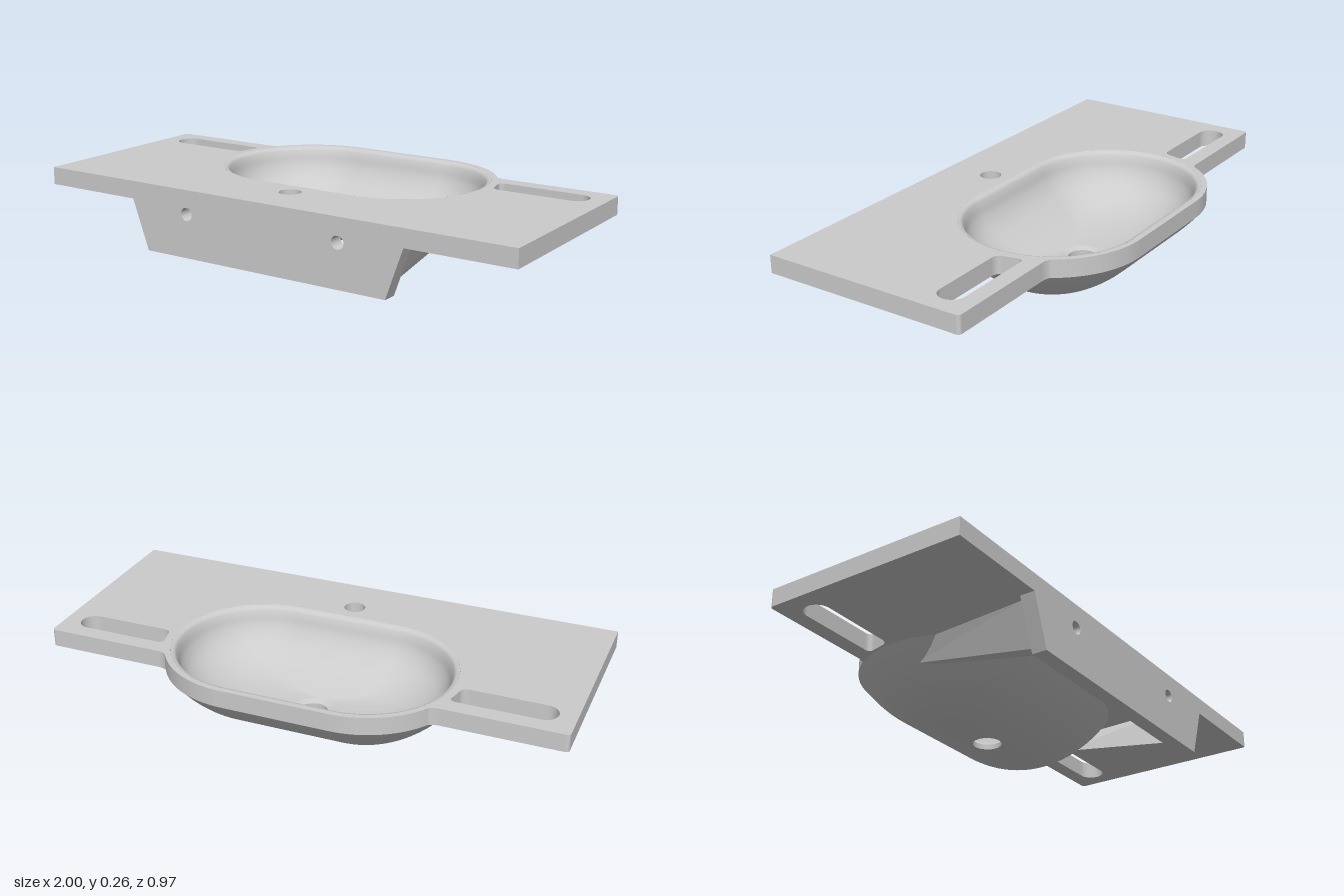
import * as THREE from 'three';

const ZC = -0.124; // centre of the basin in z
const F = 0.205; // half length of the basin's straight sides
const mat = new THREE.MeshStandardMaterial({ color: 0xcccccc, side: THREE.DoubleSide });

function add(group, geo, name) {
  const mesh = new THREE.Mesh(geo, mat);
  mesh.name = name;
  group.add(mesh);
}

const circle = (x, y, r) => new THREE.Path().absarc(x, y, r, 0, Math.PI * 2, true);

// Loft of stadium-shaped rings; each ring is [half straight length, end radius, height]
function loft(rings, half = 40) {
  const pos = [], idx = [], n = 2 * (half + 1);
  for (const [f, r, y] of rings) {
    for (const side of [1, -1]) {
      for (let k = 0; k <= half; k++) {
        const a = -Math.PI / 2 + (Math.PI * k) / half;
        pos.push(side * (f + r * Math.cos(a)), y, ZC + side * r * Math.sin(a));
      }
    }
  }
  for (let i = 0; i < rings.length - 1; i++) {
    for (let j = 0; j < n; j++) {
      const a = i * n + j, b = i * n + ((j + 1) % n);
      idx.push(a, a + n, b, b, a + n, b + n);
    }
  }
  const geo = new THREE.BufferGeometry();
  geo.setAttribute('position', new THREE.Float32BufferAttribute(pos, 3));
  geo.setIndex(idx);
  geo.computeVertexNormals();
  return geo;
}

const smooth = (rings, n) =>
  new THREE.CatmullRomCurve3(rings.map((p) => new THREE.Vector3(...p))).getPoints(n).map((p) => p.toArray());

// Countertop outline in plan (shape y = -z), bulging around the basin at the back
function topShape(recesses) {
  const s = new THREE.Shape();
  const c = -ZC, r = 0.363, a = 0.57;
  const ex = F + r * Math.cos(a), ey = c + r * Math.sin(a);
  s.moveTo(-1, -0.487);
  s.lineTo(1, -0.487);
  s.lineTo(1, 0.295);
  s.quadraticCurveTo(1, 0.31, 0.985, 0.31);
  s.lineTo(0.55, 0.31);
  s.quadraticCurveTo(0.525, 0.31, ex, ey);
  s.absarc(F, c, r, a, Math.PI / 2, false);
  s.absarc(-F, c, r, Math.PI / 2, Math.PI - a, false);
  s.quadraticCurveTo(-0.525, 0.31, -0.55, 0.31);
  s.lineTo(-0.985, 0.31);
  s.quadraticCurveTo(-1, 0.31, -1, 0.295);
  s.closePath();

  // Basin opening and tap hole
  const basin = new THREE.Path();
  basin.absarc(F, c, 0.342, -Math.PI / 2, Math.PI / 2, false);
  basin.absarc(-F, c, 0.342, Math.PI / 2, Math.PI * 1.5, false);
  basin.closePath();
  s.holes.push(basin, circle(0, -0.3, 0.041));

  // Towel slots, round at the outer end and following the bowl at the inner end
  for (const m of [1, -1]) {
    const p = new THREE.Path();
    p.moveTo(m * 0.61, 0.147);
    p.lineTo(m * 0.885, 0.147);
    p.absarc(m * 0.885, 0.197, 0.05, -Math.PI / 2, Math.PI / 2, m < 0);
    p.lineTo(m * 0.585, 0.247);
    p.quadraticCurveTo(m * 0.56, 0.247, m * 0.563, 0.225);
    p.lineTo(m * 0.575, 0.172);
    p.quadraticCurveTo(m * 0.58, 0.147, m * 0.61, 0.147);
    s.holes.push(p);
    if (recesses) s.holes.push(circle(m * 0.25, -0.3, 0.04));
  }
  return s;
}

function slab(shape, y, depth) {
  const geo = new THREE.ExtrudeGeometry(shape, { depth, bevelEnabled: false, curveSegments: 40 });
  return geo.rotateX(-Math.PI / 2).translate(0, y, 0);
}

// Half of the front panel, split through the centres of its two bolt holes
function panelHalf(edgeX, edgeY, upper) {
  const y = 0.167, r = 0.025, s = new THREE.Shape();
  s.moveTo(-0.58, y);
  for (const x of [-0.33, 0.33]) {
    s.lineTo(x - r, y);
    s.absarc(x, y, r, Math.PI, 0, upper);
  }
  s.lineTo(0.58, y);
  s.lineTo(edgeX, edgeY);
  s.lineTo(-edgeX, edgeY);
  s.closePath();
  const geo = new THREE.ExtrudeGeometry(s, { depth: 0.057, bevelEnabled: false, curveSegments: 16 });
  return geo.translate(0, 0, 0.43);
}

// Tapered rib from the front panel to the bowl; a box with its corners moved
function ribGeometry(side) {
  // [outer x, inner x, y, z] by panel/bowl end and top/bottom
  const corner = {
    panelTop: [0.562, 0.49, 0.195, 0.44],
    panelBottom: [0.502, 0.445, 0.028, 0.44],
    bowlTop: [0.53, 0.505, 0.195, -0.01],
    bowlBottom: [0.497, 0.472, 0.123, -0.075],
  };
  const geo = new THREE.BoxGeometry(1, 1, 1);
  const p = geo.attributes.position;
  for (let i = 0; i < p.count; i++) {
    const key = (p.getZ(i) > 0 ? 'panel' : 'bowl') + (p.getY(i) > 0 ? 'Top' : 'Bottom');
    const [outer, inner, y, z] = corner[key];
    p.setXYZ(i, side * (p.getX(i) * side > 0 ? outer : inner), y, z);
  }
  const flat = geo.toNonIndexed();
  flat.computeVertexNormals();
  return flat;
}

export function createModel() {
  const model = new THREE.Group();
  model.name = 'washbasin';

  // Countertop: the lower layer also has two blind recesses beside the tap hole
  add(model, slab(topShape(true), 0.19, 0.045), 'countertopUnderside');
  add(model, slab(topShape(false), 0.235, 0.023), 'countertop');

  // Bowl interior, from the rounded rim down to the drain
  const inside = smooth([
    [F, 0.342, 0.258], [F, 0.326, 0.251], [F, 0.316, 0.232], [F, 0.303, 0.19],
    [F, 0.276, 0.147], [0.2, 0.232, 0.107], [0.185, 0.184, 0.075], [0.15, 0.135, 0.051],
    [0.08, 0.1, 0.036], [0, 0.08, 0.028],
  ], 44);
  add(model, loft(inside), 'bowlInside');

  // Bowl exterior, from the flat floor up to the countertop
  const outside = smooth([
    [F, 0.08, 0], [F, 0.14, 0.017], [F, 0.2, 0.046], [F, 0.255, 0.083],
    [F, 0.3, 0.122], [F, 0.335, 0.159], [F, 0.363, 0.192],
  ], 36);
  add(model, loft(outside), 'bowlOutside');
  add(model, loft([[0, 0.055, 0], [F, 0.08, 0]]), 'bowlFloor');

  // Drain funnel and bore
  add(model, loft([[0, 0.08, 0.028], [0, 0.055, 0.02]]), 'drainFunnel');
  add(model, loft([[0, 0.055, 0.02], [0, 0.055, 0]]), 'drainBore');

  // Front mounting panel with two bolt holes
  add(model, panelHalf(0.52, 0, false), 'mountingPanelLower');
  add(model, panelHalf(0.59, 0.195, true), 'mountingPanelUpper');

  // Side ribs
  add(model, ribGeometry(1), 'leftRib');
  add(model, ribGeometry(-1), 'rightRib');

  return model;
}
